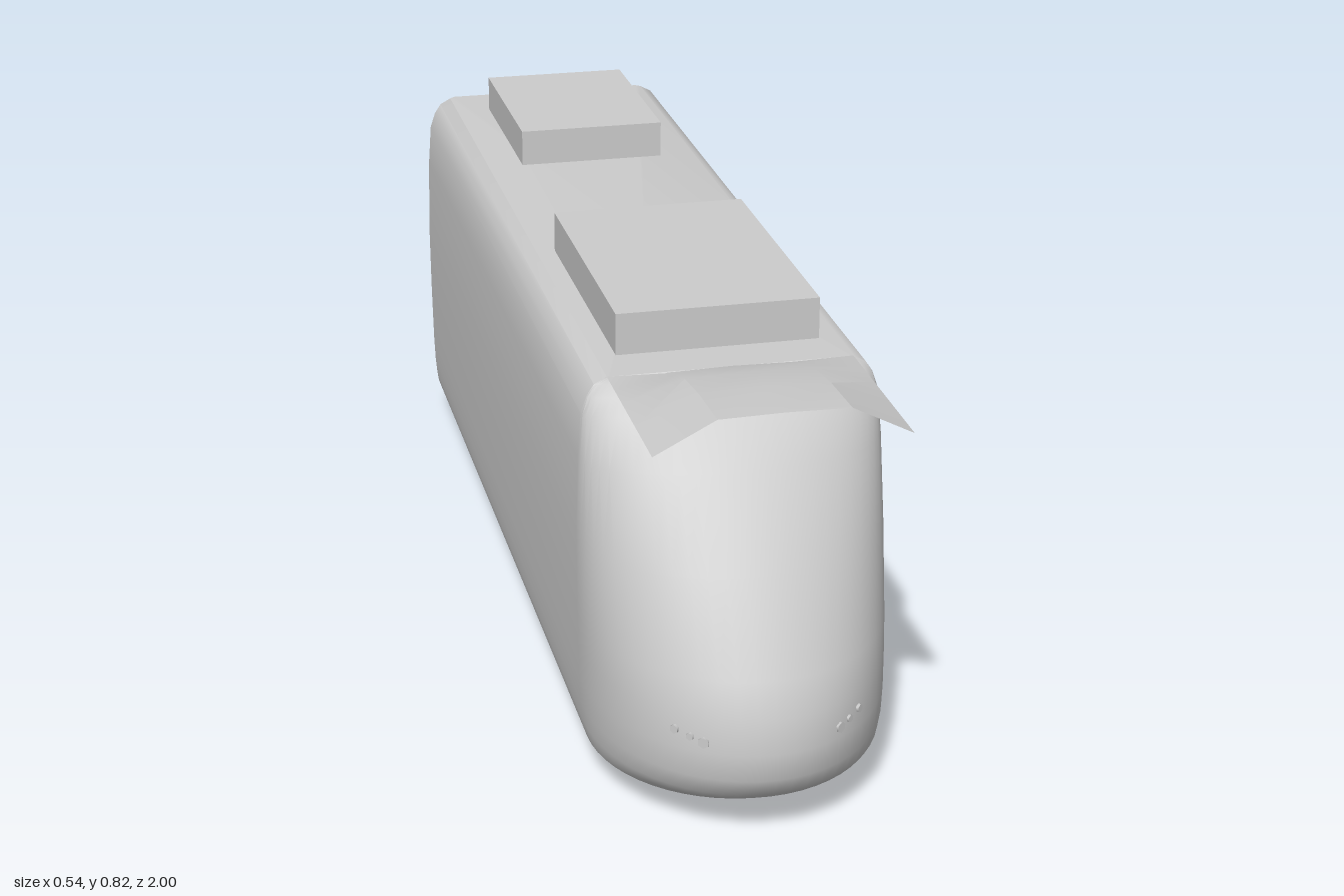
import * as THREE from 'three';
import { toCreasedNormals } from 'three/addons/utils/BufferGeometryUtils.js';

const NOSE_START = 0.66, BACK = -1, FLOOR = 0.06, ROOF = 0.742;

// Horizontal slices of the hull: height, half width, nose tip z
const SLICES = [
  [FLOOR, 0.254, 0.93], [0.075, 0.259, 0.955], [0.095, 0.262, 0.98], [0.13, 0.265, 0.997],
  [0.18, 0.267, 1.0], [0.24, 0.268, 0.99], [0.3, 0.269, 0.967], [0.45, 0.27, 0.878],
  [0.6, 0.266, 0.785], [0.68, 0.26, 0.72], [0.71, 0.25, 0.693], [0.73, 0.237, 0.673], [ROOF, 0.215, 0.662],
];

// Loop round one slice: curved nose, straight sides, slightly bevelled back
function sliceLoop([y, w, tip]) {
  const pts = [], n = 28;
  for (let i = 0; i <= n; i++) {
    const a = (i / n) * Math.PI;
    pts.push([w * Math.cos(a), y, NOSE_START + (tip - NOSE_START) * Math.sin(a)]);
  }
  pts.push([-w, y, BACK + 0.01], [-w + 0.01, y, BACK], [w - 0.01, y, BACK], [w, y, BACK + 0.01]);
  return pts;
}

function hullGeometry() {
  const loops = SLICES.map(sliceLoop), n = loops[0].length, top = loops.length - 1;
  const pos = loops.flat(2), idx = [];
  const floorMid = loops.length * n, roofMid = floorMid + 1;
  pos.push(0, FLOOR, 0, 0, ROOF, 0);
  for (let i = 0; i < n; i++) {
    const j = (i + 1) % n;
    for (let k = 0; k < top; k++) {
      const a = k * n, b = a + n;
      idx.push(a + i, b + i, a + j, a + j, b + i, b + j);
    }
    idx.push(floorMid, i, j, roofMid, top * n + j, top * n + i);
  }
  const g = new THREE.BufferGeometry();
  g.setAttribute('position', new THREE.Float32BufferAttribute(pos, 3));
  g.setIndex(idx);
  return toCreasedNormals(g, 0.6);
}

// Open arched sheet over the windscreen, rising towards the front
function visorGeometry() {
  const rows = [[0.66, 0.742], [0.72, 0.763], [0.78, 0.779], [0.88, 0.792], [1.0, 0.798]];
  const pos = [], idx = [];
  for (const [z, h] of rows)
    pos.push(-0.215, ROOF, z, -0.11, h - 0.002, z, 0, h, z, 0.11, h - 0.002, z, 0.215, ROOF, z);
  for (let r = 0; r < rows.length - 1; r++)
    for (let c = 0; c < 4; c++) {
      const a = r * 5 + c, b = a + 5;
      idx.push(a, b, a + 1, a + 1, b, b + 1);
    }
  const g = new THREE.BufferGeometry();
  g.setAttribute('position', new THREE.Float32BufferAttribute(pos, 3));
  g.setIndex(idx);
  return toCreasedNormals(g, 0.4);
}

export function createModel() {
  const model = new THREE.Group();
  model.name = 'railcar';
  const grey = new THREE.MeshStandardMaterial({ color: 0xcccccc, side: THREE.DoubleSide });
  grey.name = 'light grey';

  const add = (name, geometry, x = 0, y = 0, z = 0) => {
    const mesh = new THREE.Mesh(geometry, grey);
    mesh.name = name;
    mesh.position.set(x, y, z);
    model.add(mesh);
    return mesh;
  };

  add('hull', hullGeometry());
  add('visor', visorGeometry());

  // Roof equipment
  add('frontRoofBox', new THREE.BoxGeometry(0.36, 0.085, 0.54), 0, 0.7745, 0.3);
  add('rearRoofBox', new THREE.BoxGeometry(0.29, 0.081, 0.4), 0, 0.7725, -0.69);

  // Eight-sided wheels, half sunk into the floor
  const wheel = new THREE.CylinderGeometry(0.06, 0.06, 0.022, 8).rotateZ(Math.PI / 2);
  // Small six-sided lamps on the nose: x, y, radius
  const lamps = [[0.118, 0.198, 0.01], [0.138, 0.205, 0.007], [0.16, 0.212, 0.008]];
  for (const side of [-1, 1]) {
    for (const z of [0.015, -0.395]) add('wheel', wheel, side * 0.169, 0.06, z);
    for (const [x, y, r] of lamps) {
      const w = 0.267, d = 0.337;
      const z = NOSE_START + d * Math.sqrt(1 - (x / w) ** 2);
      const lamp = add('lamp', new THREE.CylinderGeometry(r, r, 0.006, 6).rotateX(Math.PI / 2), side * x, y, z);
      lamp.rotation.y = side * Math.atan2(x / (w * w), (z - NOSE_START) / (d * d));
    }
  }
  return model;
}
